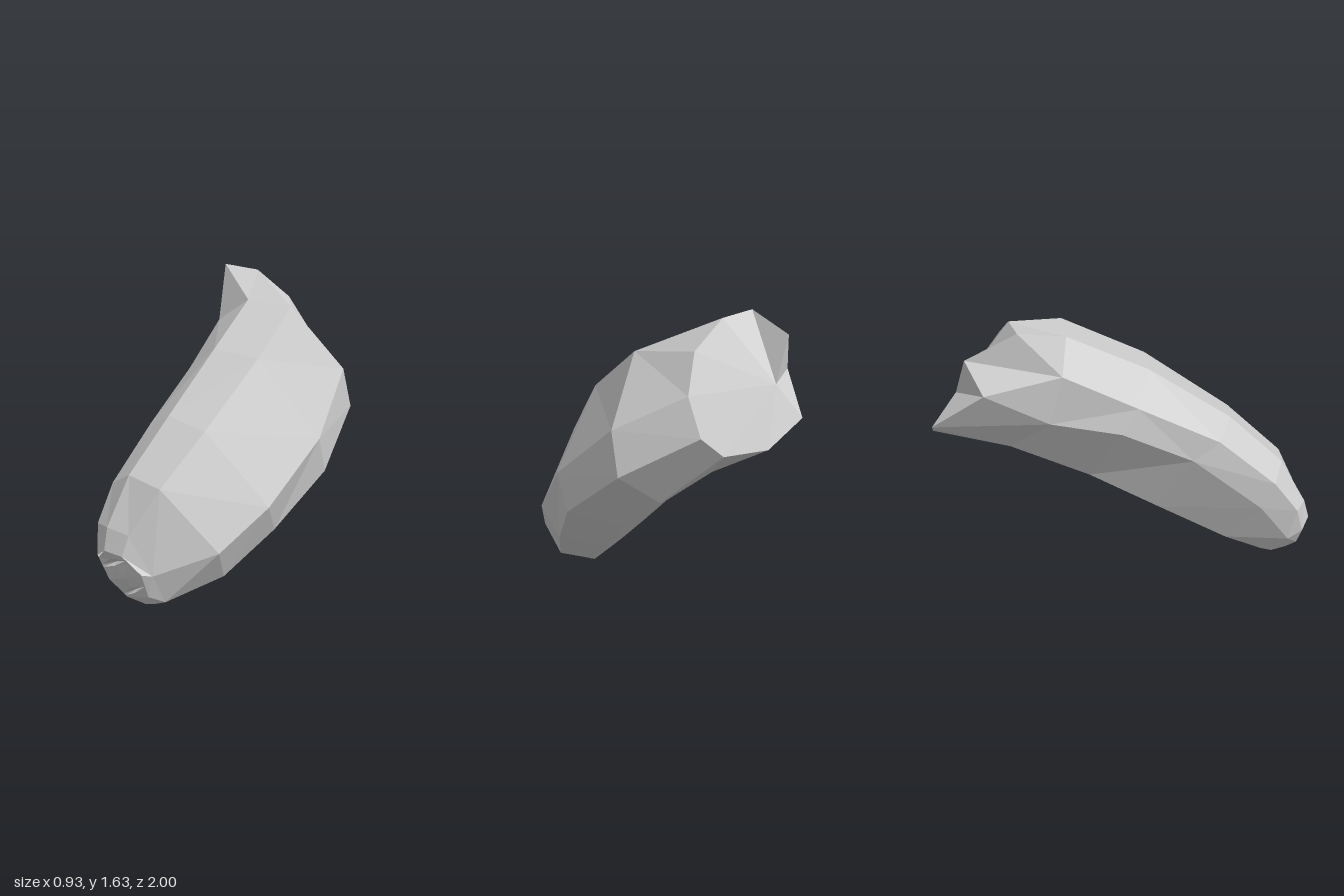
import * as THREE from 'three';

// Each ring runs clockwise seen from the front, starting at the upper left:
// upper left, upper right, side, lower side, bottom right, bottom left, low left, left
const BODY = [
  [[-.1, 1.45, -.3], [.16, 1.42, -.3], [.39, 1.07, -.5], [.4, .85, -.59], [.17, .7, -.6], [-.12, .83, -.61], [-.3, 1.06, -.41], [-.3, 1.33, -.34]],
  [[-.09, 1.22, .13], [.17, 1.18, .14], [.46, .76, 0], [.45, .57, -.1], [.17, .48, -.2], [-.09, .59, -.19], [-.31, .97, -.04], [-.28, 1.1, .05]],
  [[-.13, .92, .56], [.09, .86, .59], [.37, .47, .43], [.33, .32, .28], [.09, .27, .15], [-.14, .38, .18], [-.29, .76, .34], [-.28, .86, .48]],
  [[-.2, .66, .84], [-.01, .61, .87], [.23, .28, .71], [.19, .13, .58], [.01, .09, .5], [-.2, .18, .55], [-.33, .45, .71], [-.33, .6, .78]],
  [[-.25, .42, .97], [-.13, .39, .97], [-.02, .19, .93], [0, .04, .84], [-.1, 0, .78], [-.19, .05, .82], [-.33, .23, .87], [-.34, .42, .91]],
  [[-.25, .31, 1], [-.15, .29, 1], [-.06, .2, .97], [-.05, .08, .92], [-.09, .03, .88], [-.18, .06, .9], [-.26, .15, .94], [-.32, .27, .95]],
];

// Rim of the cut end, with two extra corners
const RIM = [
  [-.37, 1.63, -.56], [-.18, 1.6, -.59], [0, 1.45, -.63], [.09, 1.25, -.73], [.08, 1.06, -.84],
  [0, .98, -.92], [-.2, 1.01, -1], [-.39, 1.15, -1], [-.47, 1.35, -.74], [-.42, 1.53, -.82],
];
const CUT_CENTRE = [-.32, 1.3, -.87];

const lerp = (a, b, t) => a.map((v, i) => v + (b[i] - v) * t);
const distance = (a, b) => Math.hypot(...a.map((v, i) => v - b[i]));

// Skins neighbouring rows of points, splitting each quad along its shorter
// diagonal and leaving out collapsed triangles
function skin(rows, closed) {
  const out = [];
  const tri = (a, b, c) => {
    if (distance(a, b) && distance(b, c) && distance(a, c)) out.push(...a, ...b, ...c);
  };
  for (let i = 0; i < rows.length - 1; i++) {
    const n = rows[i].length;
    for (let j = 0; j < (closed ? n : n - 1); j++) {
      const k = (j + 1) % n;
      const a = rows[i][j], b = rows[i][k], c = rows[i + 1][k], d = rows[i + 1][j];
      if (distance(a, c) < distance(b, d)) {
        tri(a, d, c);
        tri(a, c, b);
      } else {
        tri(a, d, b);
        tri(b, d, c);
      }
    }
  }
  return out;
}

function part(name, positions, material) {
  const geometry = new THREE.BufferGeometry();
  geometry.setAttribute('position', new THREE.Float32BufferAttribute(positions, 3));
  geometry.computeVertexNormals();
  const mesh = new THREE.Mesh(geometry, material);
  mesh.name = name;
  return mesh;
}

export function createModel() {
  const group = new THREE.Group();
  group.name = 'curvedFruit';
  const material = new THREE.MeshStandardMaterial({ color: 0xcccccc, flatShading: true, side: THREE.DoubleSide });

  // Curved body: rings widened to the rim's ten columns by doubling two corners
  const widen = ([a, b, c, d, e, f, g, h]) => [a, b, b, c, d, e, f, g, h, h];
  group.add(part('body', skin([RIM, ...BODY.map(widen)], true), material));

  // Cut end: a fan to a sunken centre
  group.add(part('cutEnd', skin([RIM.map(() => CUT_CENTRE), RIM], true), material));

  // Blunt tip: strips from left to right with two slanting sunken creases
  const [a, b, c, d, e, f, g, h] = BODY[BODY.length - 1];
  const strip = (left, right, push) => {
    const mid = lerp(left, right, .5);
    mid[2] += push;
    return [left, mid, right];
  };
  const tip = [
    strip(a, b, 0),
    strip(lerp(h, g, .1), lerp(b, c, .1), .01),
    strip(lerp(h, g, .4), lerp(b, c, .2), -.03),
    strip(lerp(h, g, .5), lerp(b, c, .35), .01),
    strip(g, c, .015),
    strip(lerp(g, f, .6), lerp(c, d, .4), .01),
    strip(lerp(g, f, .8), lerp(c, d, .5), -.03),
    strip(lerp(g, f, .9), lerp(c, d, .65), .01),
    strip(f, d, .01),
    [e, e, e],
  ];
  group.add(part('tip', skin(tip, false), material));

  return group;
}
